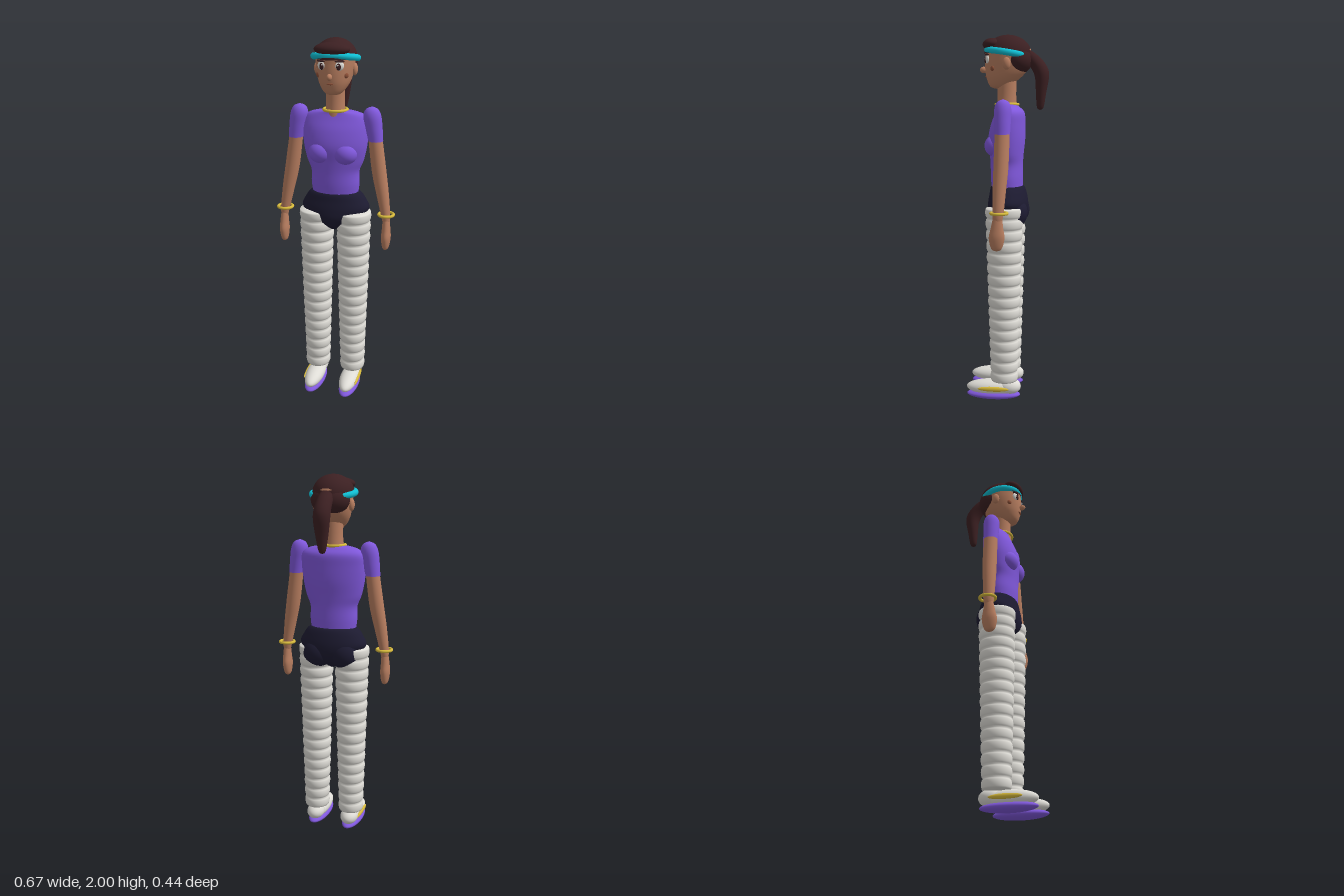
import * as THREE from 'three';

const mat = (name, color) => {
  const m = new THREE.MeshStandardMaterial({ color });
  m.name = name;
  return m;
};

export function createModel() {
  const purple = mat('purple', 0x8058dc), navy = mat('navy', 0x1d1b31);
  const white = mat('white', 0xdedcd6), skin = mat('skin', 0xb87e60);
  const brown = mat('hairBrown', 0x3c2022), cyan = mat('cyan', 0x10c0d4);
  const gold = mat('gold', 0xd6b93c), lip = mat('lipBrown', 0x8c5038);
  const model = new THREE.Group();

  const add = (name, geometry, material, parent = model) => {
    const mesh = new THREE.Mesh(geometry, material);
    mesh.name = name;
    parent.add(mesh);
    return mesh;
  };
  const ball = (name, material, [x, y, z], [rx, ry, rz], parent = model) => {
    const mesh = add(name, new THREE.SphereGeometry(1, 32, 20), material, parent);
    mesh.position.set(x, y, z);
    mesh.scale.set(rx, ry, rz);
    return mesh;
  };
  const ring = (name, material, [x, y, z], rx, rz, tube, parent = model) => {
    const g = new THREE.TorusGeometry(rx, tube, 12, 48).rotateX(Math.PI / 2);
    const mesh = add(name, g, material, parent);
    mesh.position.set(x, y, z);
    mesh.scale.z = rz / rx;
    return mesh;
  };

  // Smooth body through elliptical sections [y, cx, cz, rx, rz], listed upward
  const loft = (name, material, rows, parent = model, steps = 40, seg = 40) => {
    const curve = (pts) => new THREE.CatmullRomCurve3(pts, false, 'catmullrom', 0.5);
    const mid = curve(rows.map(([y, cx, cz]) => new THREE.Vector3(cx, y, cz)));
    const rad = curve(rows.map((r) => new THREE.Vector3(r[3], r[4], 0)));
    const pos = [], idx = [];
    for (let i = 0; i <= steps; i++) {
      const c = mid.getPoint(i / steps), r = rad.getPoint(i / steps);
      for (let j = 0; j < seg; j++) {
        const a = (j / seg) * Math.PI * 2;
        pos.push(c.x + Math.max(r.x, 0.001) * Math.sin(a), c.y, c.z + Math.max(r.y, 0.001) * Math.cos(a));
        if (i < steps) {
          const p = i * seg + j, q = i * seg + ((j + 1) % seg);
          idx.push(p, q, q + seg, p, q + seg, p + seg);
        }
      }
    }
    const g = new THREE.BufferGeometry();
    g.setAttribute('position', new THREE.Float32BufferAttribute(pos, 3));
    g.setIndex(idx);
    g.computeVertexNormals();
    return add(name, g, material, parent);
  };

  // Torso and hips
  loft('shirt', purple, [
    [1.18, 0, 0.005, 0.125, 0.085], [1.24, 0, 0.007, 0.132, 0.088], [1.31, 0, 0.008, 0.132, 0.088],
    [1.37, 0, 0.008, 0.155, 0.092], [1.45, 0, 0.008, 0.172, 0.1], [1.53, 0, 0, 0.178, 0.092],
    [1.59, 0, -0.01, 0.172, 0.078], [1.62, 0, -0.003, 0.135, 0.06], [1.635, 0, 0.005, 0.06, 0.052]]);
  loft('shorts', navy, [
    [0.97, 0, 0, 0.01, 0.03], [1.0, 0, 0.002, 0.05, 0.085], [1.05, 0, 0.002, 0.14, 0.108],
    [1.1, 0, 0, 0.187, 0.11], [1.15, 0, 0, 0.168, 0.102], [1.19, 0, 0.003, 0.137, 0.091], [1.2, 0, 0.003, 0.1, 0.07]]);

  // Neck, necklace and head
  loft('neck', skin, [[1.6, 0, 0.008, 0.054, 0.054], [1.68, 0, 0.008, 0.049, 0.051], [1.79, 0, 0.008, 0.05, 0.052]]);
  ring('necklace', gold, [0, 1.635, 0.007], 0.062, 0.06, 0.008);
  loft('head', skin, [
    [1.715, 0, 0.05, 0, 0], [1.728, 0, 0.05, 0.042, 0.045], [1.77, 0, 0.028, 0.075, 0.088],
    [1.82, 0, 0.01, 0.092, 0.114], [1.88, 0, 0.002, 0.101, 0.122], [1.93, 0, 0, 0.098, 0.118], [1.96, 0, 0, 0.06, 0.07]]);
  ball('nose', skin, [0, 1.818, 0.133], [0.014, 0.017, 0.021]);
  ball('mouth', lip, [0, 1.782, 0.117], [0.018, 0.005, 0.008]);

  // Hair, headband and ponytail
  const cap = add('hairTop', new THREE.SphereGeometry(1, 40, 20, 0, Math.PI * 2, 0, Math.PI / 2), brown);
  cap.position.set(0, 1.9, 0.002);
  cap.scale.set(0.11, 0.1, 0.126);
  ball('hairBack', brown, [0, 1.87, -0.05], [0.104, 0.078, 0.08]);
  ball('fringe', brown, [0, 1.95, 0.08], [0.093, 0.034, 0.057]);
  const band = ring('headband', cyan, [0, 1.903, 0.004], 0.113, 0.11, 0.017);
  band.rotation.x = -0.16;
  loft('ponytail', brown, [
    [1.605, 0, -0.172, 0, 0], [1.62, 0, -0.173, 0.018, 0.018], [1.7, 0, -0.177, 0.034, 0.028],
    [1.78, 0, -0.181, 0.044, 0.038], [1.83, 0, -0.165, 0.044, 0.045],
    [1.88, 0, -0.125, 0.04, 0.048], [1.92, 0, -0.09, 0.03, 0.03]]);

  for (const s of [-1, 1]) {
    const side = new THREE.Group();
    side.name = s > 0 ? 'leftSide' : 'rightSide';
    model.add(side);

    // Face details
    ball('eyeWhite', white, [s * 0.045, 1.872, 0.107], [0.024, 0.024, 0.012], side).rotation.y = s * 0.35;
    ball('iris', brown, [s * 0.044, 1.868, 0.117], [0.012, 0.017, 0.006], side).rotation.y = s * 0.3;
    ball('eyeGlint', white, [s * 0.04, 1.876, 0.122], [0.004, 0.004, 0.003], side);
    ball('eyelash', brown, [s * 0.047, 1.894, 0.109], [0.026, 0.005, 0.01], side).rotation.y = s * 0.35;
    ball('cheek', lip, [s * 0.072, 1.822, 0.077], [0.014, 0.014, 0.009], side).rotation.y = s * 0.7;
    ball('ear', skin, [s * 0.1, 1.845, 0.0], [0.016, 0.032, 0.022], side);

    // Bust and seat
    ball('bust', purple, [s * 0.066, 1.415, 0.062], [0.066, 0.06, 0.06], side);
    ball('seat', navy, [s * 0.075, 1.055, -0.04], [0.085, 0.085, 0.072], side);

    // Arm with short sleeve, bracelet and hand
    loft('sleeve', purple, [
      [1.48, s * 0.218, 0.01, 0.039, 0.041], [1.55, s * 0.207, 0.01, 0.045, 0.044],
      [1.61, s * 0.197, 0.009, 0.047, 0.044], [1.645, s * 0.195, 0.008, 0.032, 0.03],
      [1.66, s * 0.195, 0.008, 0, 0]], side, 24, 28);
    loft('arm', skin, [
      [1.03, s * 0.288, 0.027, 0.018, 0.022], [1.08, s * 0.283, 0.025, 0.025, 0.029],
      [1.2, s * 0.262, 0.02, 0.034, 0.035], [1.32, s * 0.24, 0.014, 0.039, 0.039],
      [1.5, s * 0.215, 0.01, 0.037, 0.039]], side, 24, 28);
    ring('bracelet', gold, [s * 0.285, 1.08, 0.02], 0.04, 0.042, 0.008, side);
    loft('hand', skin, [
      [0.88, s * 0.288, 0.033, 0, 0], [0.895, s * 0.288, 0.033, 0.017, 0.027],
      [0.95, s * 0.289, 0.032, 0.026, 0.041], [1.0, s * 0.289, 0.03, 0.023, 0.033],
      [1.06, s * 0.287, 0.027, 0.018, 0.023]], side, 20, 24);

    // Leg built of stacked padded rings
    const profile = [new THREE.Vector2(0.001, 0.105)];
    const count = 16, low = 0.105, high = 1.09, per = 8;
    for (let i = 0; i <= count * per; i++) {
      const t = i / (count * per);
      const bulge = Math.sqrt(Math.abs(Math.sin(t * count * Math.PI)));
      const end = i === 0 || i === count * per ? 0.02 : 0;
      profile.push(new THREE.Vector2(0.061 + 0.026 * t + 0.01 * bulge - end, low + (high - low) * t));
    }
    profile.push(new THREE.Vector2(0.001, high));
    const leg = add('paddedLeg', new THREE.LatheGeometry(profile, 36), white, side);
    leg.position.set(s * 0.104, 0, 0.012);
    leg.scale.z = 1.07;

    // Shoe, sole and side stripe
    ball('shoe', white, [s * 0.103, 0.067, 0.075], [0.053, 0.044, 0.15], side);
    ball('shoeHeel', white, [s * 0.103, 0.075, -0.015], [0.05, 0.045, 0.066], side);
    ball('sole', purple, [s * 0.103, 0.027, 0.073], [0.055, 0.027, 0.15], side);
    ball('shoeStripe', gold, [s * 0.153, 0.071, 0.07], [0.009, 0.014, 0.087], side);
  }
  return model;
}
